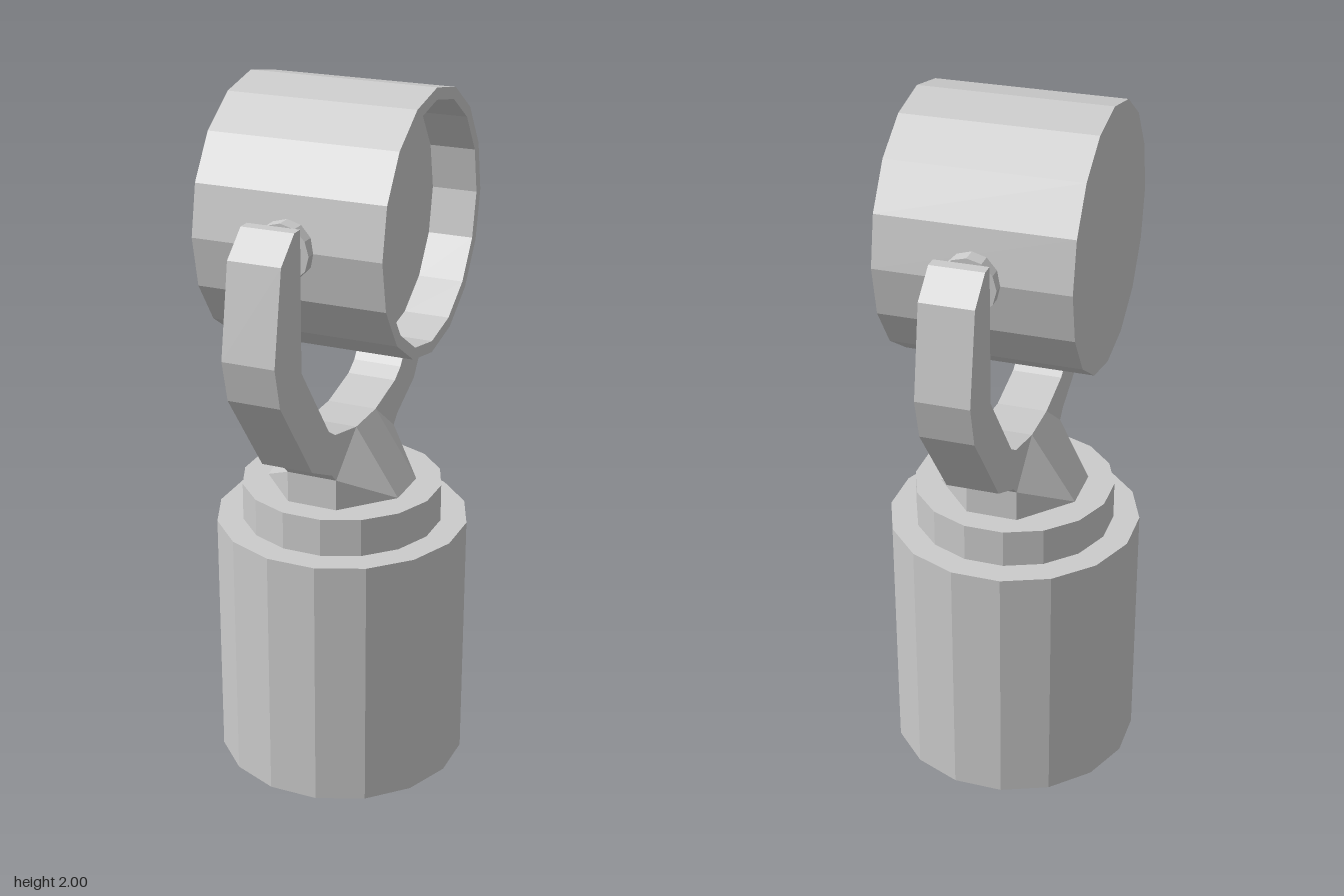
import * as THREE from 'three';

const material = new THREE.MeshStandardMaterial({
  color: 0xcccccc, flatShading: true, side: THREE.DoubleSide,
});

function part(name, geometry, parent) {
  const mesh = new THREE.Mesh(geometry, material);
  mesh.name = name;
  parent.add(mesh);
  return mesh;
}

const points = (list) => list.map(([a, b]) => new THREE.Vector2(a, b));

// Sloping flank of the pedestal on the +x side
function flankGeometry(w) {
  const v = [
    [0.2, 0.855, 0.07], [0.2, 0.855, -0.07],   // 0, 1 foot
    [w, 1.05, -0.07], [w, 1.05, 0.07],         // 2, 3 top
    [w, 0.855, 0.21], [w, 0.945, 0.21],        // 4, 5 front corner
    [w, 0.855, -0.21], [w, 0.945, -0.21],      // 6, 7 back corner
  ];
  const g = new THREE.BufferGeometry();
  g.setAttribute('position', new THREE.Float32BufferAttribute(v.flat(), 3));
  g.setIndex([0, 1, 2, 0, 2, 3, 4, 0, 5, 5, 0, 3, 1, 6, 7, 1, 7, 2]);
  g.computeVertexNormals();
  return g;
}

export function createModel() {
  const model = new THREE.Group();
  model.name = 'spotlight';

  // Hollow base with stepped collar, open underneath
  part('base', new THREE.LatheGeometry(points([
    [0.362, 0], [0.362, 0.745], [0.287, 0.745], [0.287, 0.855], [0, 0.855],
  ]), 16, Math.PI / 16), model);

  // Fork and pedestal core: half outline as (z, y), mirrored
  const half = [
    [0.21, 0.855], [0.21, 0.945], [0.238, 0.972], [0.367, 1.035],
    [0.557, 1.29], [0.585, 1.405], [0.54, 1.655], [0.462, 1.72],
    [0.428, 1.72], [0.428, 1.34], [0.258, 1.11], [0.215, 1.083], [0.07, 1.05],
  ];
  const mirrored = half.map(([z, y]) => [-z, y]).reverse();
  const w = 0.073;
  const fork = new THREE.ExtrudeGeometry(new THREE.Shape(points([...half, ...mirrored])),
    { depth: 2 * w, bevelEnabled: false });
  fork.translate(0, 0, -w);
  fork.rotateY(-Math.PI / 2);
  part('fork', fork, model);

  // Pedestal flanks on both sides of the fork
  for (const turn of [0, Math.PI]) {
    part('pedestalFlank', flankGeometry(w), model).rotation.y = turn;
  }

  // Lamp drum along x, with a recessed face on +x
  const drum = part('lampDrum', new THREE.LatheGeometry(points([
    [0, -0.265], [0.362, -0.265], [0.362, 0.265], [0.33, 0.265], [0.33, 0.135], [0, 0.135],
  ]), 16), model);
  drum.rotation.z = -Math.PI / 2;
  drum.position.y = 1.638;

  // Pivot collars and pins between drum and fork
  for (const s of [1, -1]) {
    const pivot = new THREE.Group();
    pivot.name = 'pivot';
    pivot.position.y = 1.638;
    pivot.rotation.x = s * Math.PI / 2;
    part('pivotCollar', new THREE.CylinderGeometry(0.078, 0.078, 0.06, 12), pivot).position.y = 0.36;
    part('pivotPin', new THREE.CylinderGeometry(0.034, 0.034, 0.06, 12), pivot).position.y = 0.41;
    model.add(pivot);
  }

  return model;
}
